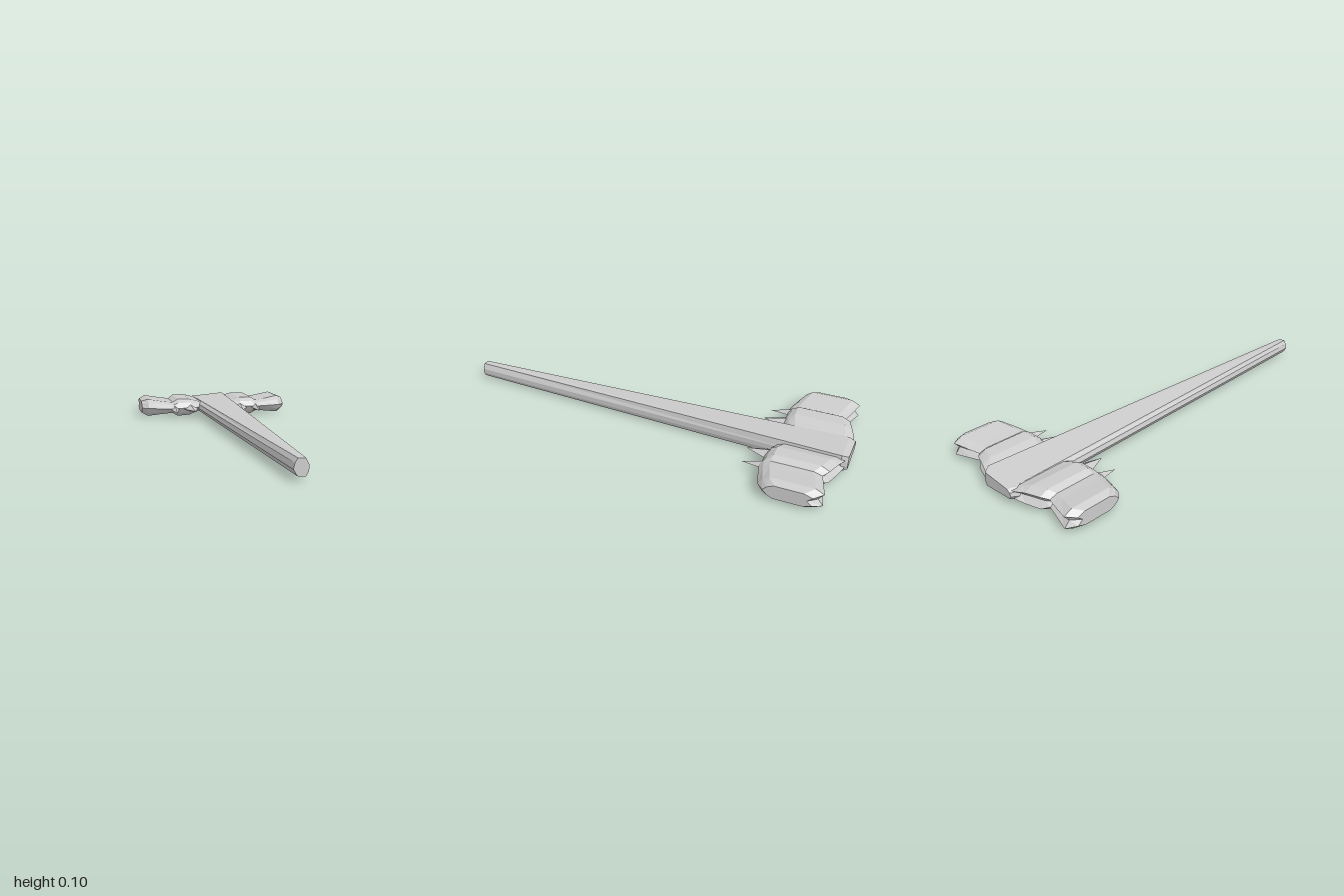
import * as THREE from 'three';

const material = new THREE.MeshStandardMaterial({ color: 0xcccccc, flatShading: true });

// Closed skin through equal-length rings, wound counter-clockwise about the loft direction
function loft(name, rings) {
  const pos = [];
  const tri = (...pts) => pts.forEach((p) => pos.push(...p));
  const n = rings[0].length;
  const centre = (r) => [0, 1, 2].map((k) => r.reduce((s, p) => s + p[k], 0) / n);
  const first = rings[0], last = rings[rings.length - 1];
  for (let j = 0; j < n; j++) {
    const k = (j + 1) % n;
    for (let i = 0; i < rings.length - 1; i++) {
      const [a, b, c, d] = [rings[i][j], rings[i][k], rings[i + 1][k], rings[i + 1][j]];
      tri(a, b, c);
      tri(a, c, d);
    }
    tri(centre(first), first[k], first[j]);
    tri(centre(last), last[j], last[k]);
  }
  const g = new THREE.BufferGeometry();
  g.setAttribute('position', new THREE.Float32BufferAttribute(pos, 3));
  g.computeVertexNormals();
  const mesh = new THREE.Mesh(g, material);
  mesh.name = name;
  return mesh;
}

// Handle: eight-sided bar, wide and slightly twisted at the head, narrow at the grip
function makeHandle() {
  const grip = [[0.025, 0.06], [0.012, 0.087], [-0.02, 0.088], [-0.032, 0.07],
    [-0.038, 0.045], [-0.022, 0.018], [0.012, 0.015], [0.024, 0.035]];
  const butt = [[0.11, 0.06], [0.103, 0.097], [-0.085, 0.081], [-0.105, 0.066],
    [-0.112, 0.045], [-0.1, 0.025], [0.1, 0.008], [0.109, 0.035]];
  const ring = (t, z, sx = 1, sy = 1) => butt.map(([x, y], i) => [
    THREE.MathUtils.lerp(x, grip[i][0], t) * sx,
    0.053 + (THREE.MathUtils.lerp(y, grip[i][1], t) - 0.053) * sy, z]);
  return loft('handle', [ring(0, -1, 0.83, 0.75), ring(0, -0.97), ring(1, 1)]);
}

// Head half: [x, back z, front z, bottom y, top y] stations from the handle outward
const stations = [
  [0.08, -0.99, -0.66, 0.028, 0.078],
  [0.11, -0.985, -0.65, 0.02, 0.086],
  [0.15, -0.97, -0.64, 0.006, 0.099],
  [0.22, -0.945, -0.64, 0.001, 0.1],
  [0.25, -0.92, -0.635, 0.02, 0.082],
  [0.3, -0.935, -0.645, 0.015, 0.087],
  [0.39, -0.96, -0.67, 0.002, 0.1],
  [0.425, -0.92, -0.7, 0.018, 0.086],
];

function makeHeadHalf(s) {
  const rings = stations.map(([x, zb, zf, lo, hi]) => {
    const h = hi - lo, mid = (lo + hi) / 2;
    return [[zb + 0.04, hi], [zf - 0.05, hi], [zf - 0.02, hi - h * 0.2], [zf, mid],
      [zf - 0.02, lo + h * 0.2], [zf - 0.05, lo], [zb + 0.04, lo],
      [zb, lo + h * 0.2], [zb + 0.025, mid], [zb, hi - h * 0.2]].map(([z, y]) => [x * s, y, z]);
  });
  return loft('headHalf', s > 0 ? rings : rings.reverse());
}

// Spike: flattened four-sided point jutting forward from the head
function makeSpike(s, x0, x1, tipX, tipY, tipZ) {
  const base = [[x1, 0.045], [(x0 + x1) / 2, 0.072], [x0, 0.045], [(x0 + x1) / 2, 0.028]];
  const ring = base.map(([x, y]) => [x * s, y, -0.67]);
  const tip = base.map(() => [tipX * s, tipY, tipZ]);
  if (s < 0) { ring.reverse(); tip.reverse(); }
  return loft('spike', [ring, tip]);
}

export function createModel() {
  const group = new THREE.Group();
  group.name = 'warHammer';
  group.add(makeHandle());
  for (const s of [1, -1]) {
    const side = new THREE.Group();
    side.name = s > 0 ? 'leftHead' : 'rightHead';
    side.add(makeHeadHalf(s));
    side.add(makeSpike(s, 0.1, 0.2, 0.14, 0.045, -0.54));
    side.add(makeSpike(s, 0.21, 0.27, 0.24, 0.035, -0.55));
    group.add(side);
  }
  return group;
}
